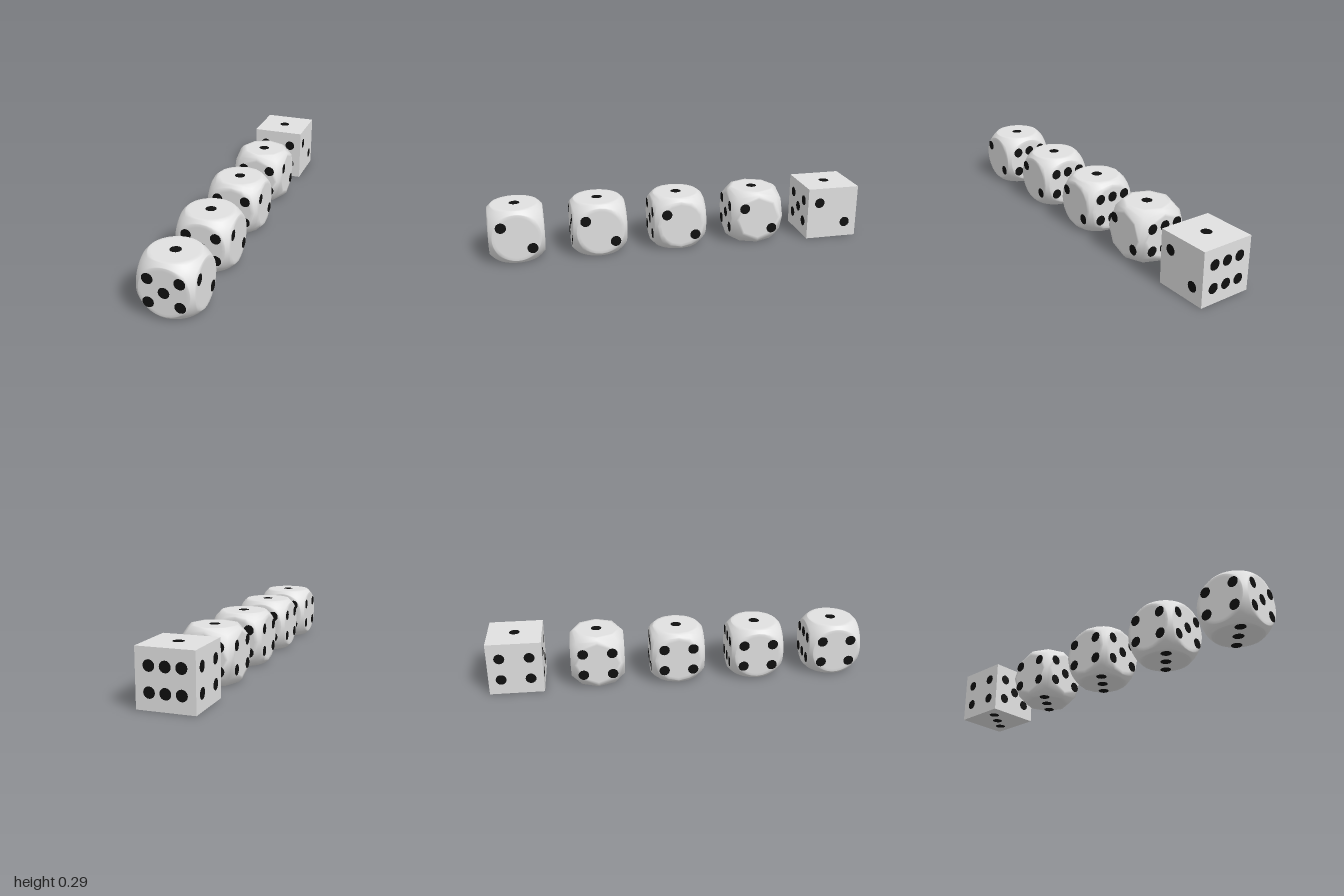
import * as THREE from 'three';
import { mergeVertices, mergeGeometries } from 'three/addons/utils/BufferGeometryUtils.js';

const SIZE = 2 / 7, H = SIZE / 2;   // die edge and half edge
const R = 0.189;                    // sphere that trims the edges and corners
const DISC = Math.sqrt(R * R - H * H); // radius of the flat disc left on each face
const PIP = 0.028, PX = 0.077, PY = 0.06;
const Q = Math.PI / 2;

// Rotations that carry the front face to each side
const SIDES = {
  front: [0, 0], right: [0, Q], back: [0, 2 * Q], left: [0, -Q], top: [-Q, 0], bottom: [Q, 0],
};

// Pip layouts for each side
const diagonal = [[-PX, PY], [PX, -PY]];
const corners = [...diagonal, [PX, PY], [-PX, -PY]];
const PIPS = {
  front: [...corners, [0, 0]],
  right: diagonal,
  back: [...corners, [0, PY], [0, -PY]],
  left: corners,
  top: [[0, 0]],
  bottom: [...diagonal, [0, 0]],
};

// k-th of n points around a square of half size H, counterclockwise
function squarePoint(k, n) {
  const q = n / 4, side = Math.floor(k / q), t = (k % q) / q * 2 - 1;
  return new THREE.Vector2(H, H * t).rotateAround(new THREE.Vector2(), side * Q);
}

// One side: flat disc in the middle, then rings lying on the trimming sphere
function sideGeometry(n, rings) {
  const pos = [0, 0, H], index = [];
  const add = (p, onSphere) => {
    const v = new THREE.Vector3(p.x, p.y, H);
    if (onSphere) v.setLength(Math.min(R, v.length()));
    pos.push(v.x, v.y, v.z);
  };
  for (let j = -1; j <= rings; j++) {
    for (let k = 0; k < n; k++) {
      const s = squarePoint(k, n), c = s.clone().setLength(DISC);
      if (j < 0) add(c.multiplyScalar(0.88), false);
      else add(c.lerp(s, j / rings), true);
    }
  }
  for (let k = 0; k < n; k++) {
    const k2 = (k + 1) % n;
    index.push(0, 1 + k, 1 + k2);
    for (let j = 0; j <= rings; j++) {
      const a = 1 + j * n + k, b = 1 + j * n + k2;
      index.push(a, a + n, b + n, a, b + n, b);
    }
  }
  const g = new THREE.BufferGeometry();
  g.setAttribute('position', new THREE.Float32BufferAttribute(pos, 3));
  g.setIndex(index);
  return g;
}

// Six sides welded into one smooth body
function roundedBody(n, rings) {
  const sides = Object.values(SIDES).map(([rx, ry]) =>
    sideGeometry(n, rings).rotateX(rx).rotateY(ry));
  const g = mergeVertices(mergeGeometries(sides), 1e-4);
  g.computeVertexNormals();
  return g;
}

export function createModel() {
  const ivory = new THREE.MeshStandardMaterial({ name: 'light grey', color: 0xe0e0e0 });
  const black = new THREE.MeshStandardMaterial({ name: 'black', color: 0x0f0f0f });
  const pipGeometry = new THREE.CircleGeometry(PIP, 16);
  const model = new THREE.Group();
  model.name = 'diceRow';

  // Dice from the sharp cube at the back to the smoothest at the front
  for (let i = 0; i < 5; i++) {
    const die = new THREE.Group();
    die.name = `die${i + 1}`;
    const geometry = i === 0
      ? new THREE.BoxGeometry(SIZE, SIZE, SIZE)
      : roundedBody(4 * 2 ** i, i);
    const body = new THREE.Mesh(geometry, ivory);
    body.name = 'body';
    die.add(body);

    // Pips
    for (const [name, [rx, ry]] of Object.entries(SIDES)) {
      const side = new THREE.Group();
      side.name = `${name}Pips`;
      side.rotation.set(rx, ry, 0);
      for (const [x, y] of PIPS[name]) {
        const pip = new THREE.Mesh(pipGeometry, black);
        pip.name = 'pip';
        pip.position.set(x, y, H + 0.001);
        side.add(pip);
      }
      die.add(side);
    }
    die.position.set(0, H, (i - 2) * 3 / 7);
    model.add(die);
  }
  return model;
}
